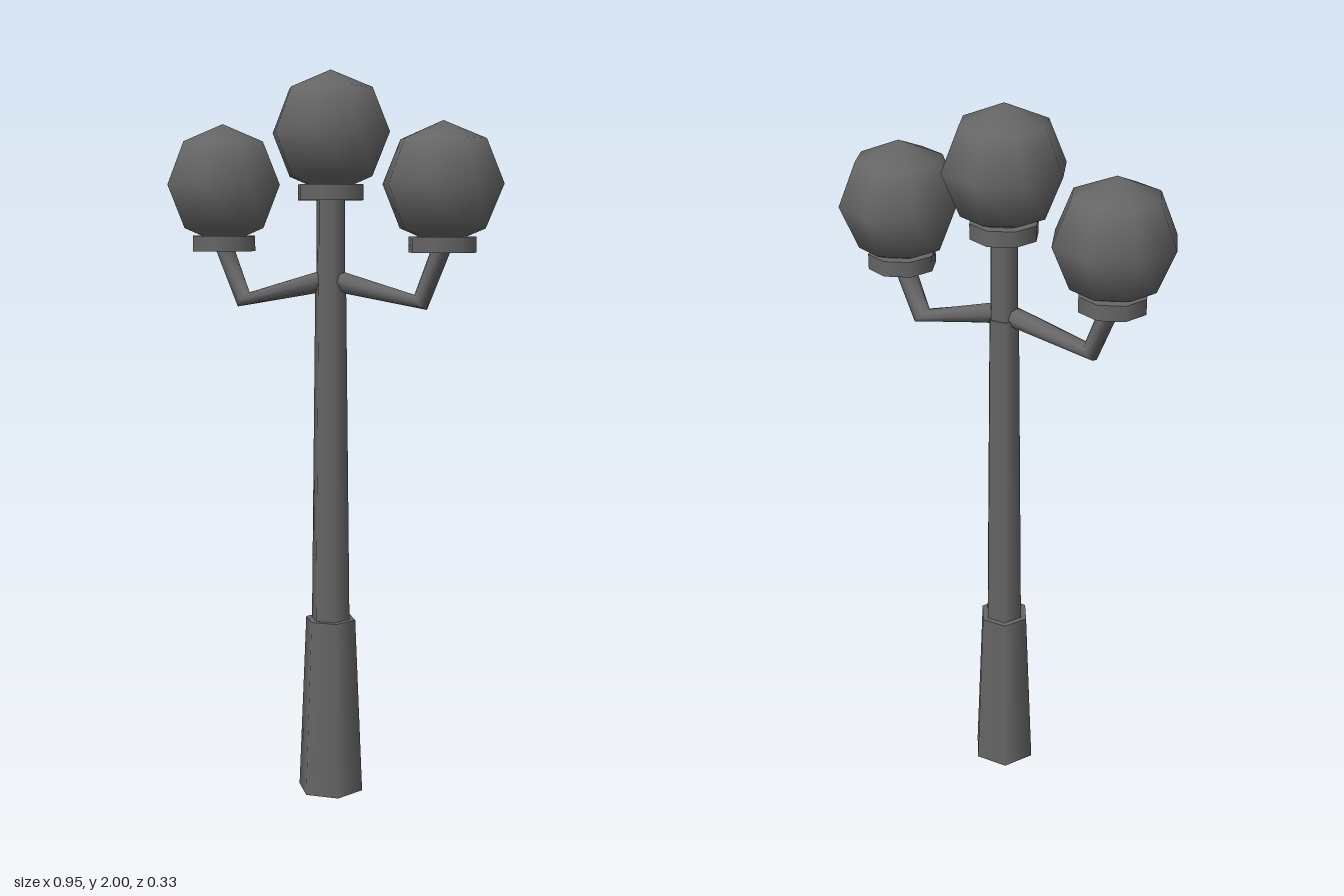
import * as THREE from 'three';

const material = new THREE.MeshStandardMaterial({ color: 0x666666, side: THREE.DoubleSide });

function add(parent, name, geometry, x = 0, y = 0) {
  const mesh = new THREE.Mesh(geometry, material);
  mesh.name = name;
  mesh.position.set(x, y, 0);
  parent.add(mesh);
}

// Tapered prism standing from y0 to y1, with corners on the x axis
function column(parent, name, r0, r1, y0, y1, { sides = 6, x = 0, open = false } = {}) {
  const geometry = new THREE.CylinderGeometry(r1, r0, y1 - y0, sides, 1, open, Math.PI / 2);
  add(parent, name, geometry, x, (y0 + y1) / 2);
}

// Collar with a faceted globe resting in it
function lamp(parent, x, y) {
  const group = new THREE.Group();
  group.name = 'lamp';
  column(group, 'collar', 0.0925, 0.0925, y, y + 0.042, { sides: 8, x });
  add(group, 'globe', new THREE.SphereGeometry(0.165, 8, 4), x, y + 0.18);
  parent.add(group);
}

// Bent arm lofted through rings: [innerX, innerY, outerX, outerY, half depth]
function armGeometry() {
  const rings = [
    [0.02, 1.468, 0.02, 1.408, 0.026],
    [0.235, 1.404, 0.27, 1.364, 0.027],
    [0.28, 1.525, 0.335, 1.525, 0.031],
  ];
  const sides = 8;
  const positions = [];
  const indices = [];
  rings.forEach(([ix, iy, ox, oy, depth], i) => {
    for (let j = 0; j < sides; j++) {
      const angle = (j / sides) * Math.PI * 2;
      const t = (1 - Math.cos(angle)) / 2;
      positions.push(ix + (ox - ix) * t, iy + (oy - iy) * t, Math.sin(angle) * depth);
      if (i === rings.length - 1) continue;
      const a = i * sides + j;
      const b = i * sides + (j + 1) % sides;
      indices.push(a, b, a + sides, b, b + sides, a + sides);
    }
  });
  const geometry = new THREE.BufferGeometry();
  geometry.setAttribute('position', new THREE.Float32BufferAttribute(positions, 3));
  geometry.setIndex(indices);
  geometry.computeVertexNormals();
  return geometry;
}

export function createModel() {
  const model = new THREE.Group();
  model.name = 'streetLamp';

  // Hollow base, closed by a ledge around the pole
  column(model, 'base', 0.0935, 0.072, 0, 0.495, { open: true });
  add(model, 'baseLedge', new THREE.CircleGeometry(0.072, 6).rotateX(-Math.PI / 2), 0, 0.495);

  // Pole
  column(model, 'lowerPole', 0.055, 0.044, 0.495, 1.43);
  column(model, 'upperPole', 0.041, 0.04, 1.42, 1.66);
  lamp(model, 0, 1.655);

  // Two mirrored side branches
  for (const side of [1, -1]) {
    const branch = new THREE.Group();
    branch.name = side > 0 ? 'leftBranch' : 'rightBranch';
    add(branch, 'arm', armGeometry());
    lamp(branch, 0.31, 1.517);
    if (side < 0) branch.rotation.y = Math.PI;
    model.add(branch);
  }
  return model;
}
